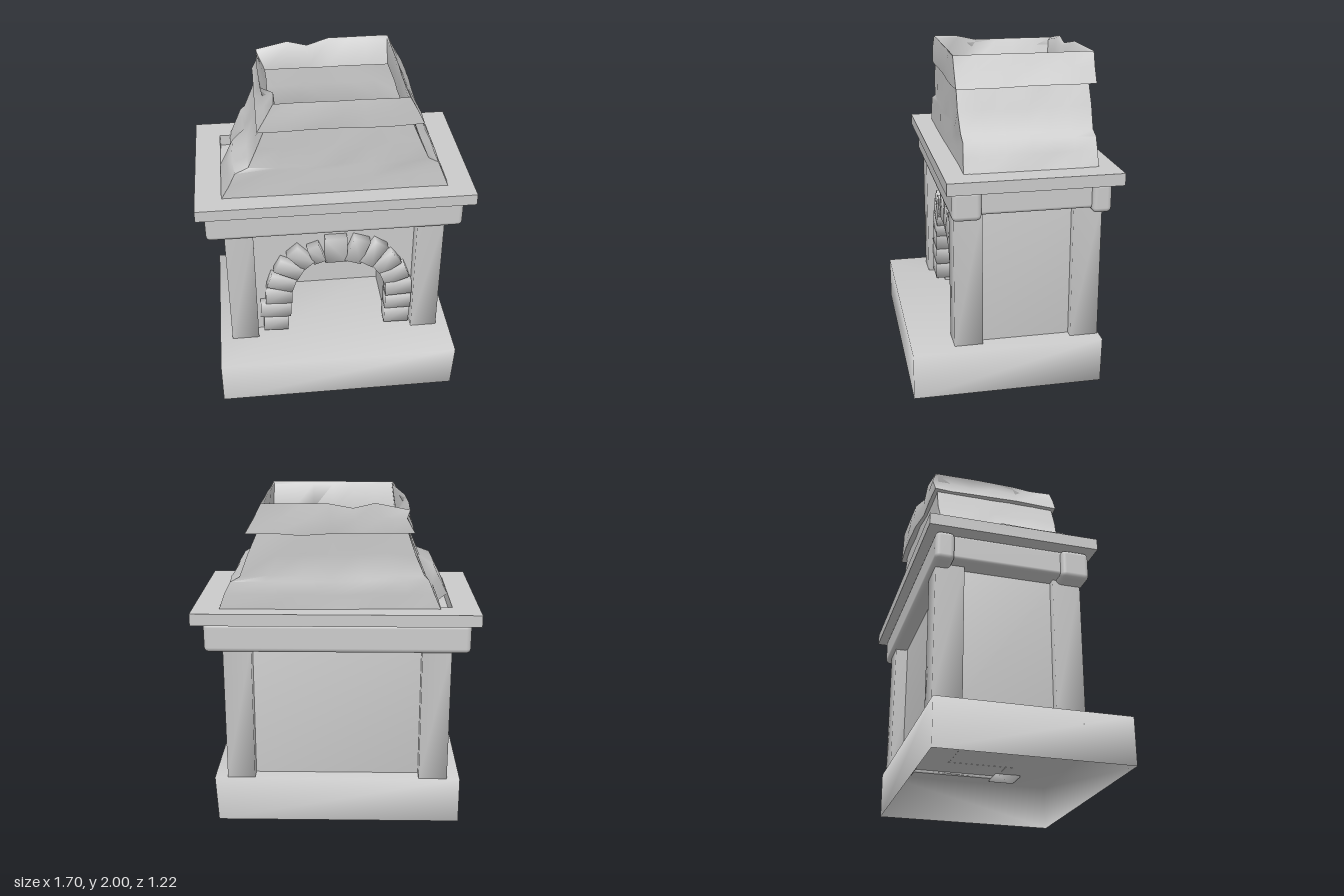
import * as THREE from 'three';
import { mergeVertices, toCreasedNormals } from 'three/addons/utils/BufferGeometryUtils.js';
import { RoundedBoxGeometry } from 'three/addons/geometries/RoundedBoxGeometry.js';

const stone = new THREE.MeshStandardMaterial({ color: 0xcccccc });
const thinStone = new THREE.MeshStandardMaterial({ color: 0xcccccc, side: THREE.DoubleSide });

let seed = 7;
const jitter = (amount) => {
  seed = (seed * 16807) % 2147483647;
  return (seed / 2147483647 - 0.5) * 2 * amount;
};

function add(parent, name, geometry, material = stone) {
  const mesh = new THREE.Mesh(geometry, material);
  mesh.name = name;
  parent.add(mesh);
  return mesh;
}

// Welds corners so the shading runs softly over the edges
function soften(geometry) {
  geometry.deleteAttribute('normal');
  geometry.deleteAttribute('uv');
  const welded = mergeVertices(geometry);
  welded.computeVertexNormals();
  return welded;
}

// Block given by its limits, with soft shading or rounded edges
function block(parent, name, [x0, x1], [y0, y1], [z0, z1], radius = 0) {
  const size = [x1 - x0, y1 - y0, z1 - z0];
  const geometry = radius ? new RoundedBoxGeometry(...size, 2, radius) : soften(new THREE.BoxGeometry(...size));
  const mesh = add(parent, name, geometry);
  mesh.position.set((x0 + x1) / 2, (y0 + y1) / 2, (z0 + z1) / 2);
  return mesh;
}

// Flat rectangular ring with a hole
function frame(parent, name, outer, hole, y0, y1) {
  const rect = (target, [a, b, c, d]) =>
    target.moveTo(a, -d).lineTo(b, -d).lineTo(b, -c).lineTo(a, -c).closePath();
  const shape = rect(new THREE.Shape(), outer);
  shape.holes.push(rect(new THREE.Path(), hole));
  const geometry = new THREE.ExtrudeGeometry(shape, { depth: y1 - y0, bevelEnabled: false });
  geometry.rotateX(-Math.PI / 2).translate(0, y0, 0);
  return add(parent, name, geometry);
}

// Arch outline from the left foot over the crown to the right foot
function archPoints(halfWidth, foot, spring, rise, centre = 0.01, steps = 18) {
  const points = [new THREE.Vector2(centre - halfWidth, foot)];
  for (let i = 0; i <= steps; i++) {
    const a = Math.PI * (1 - i / steps);
    points.push(new THREE.Vector2(centre + halfWidth * Math.cos(a), spring + rise * Math.sin(a)));
  }
  points.push(new THREE.Vector2(centre + halfWidth, foot));
  return points;
}

// Skin over stacked rough rectangles [y, x0, x1, z0, z1, roughness]; dent() adds local damage
function roughLoft(rings, dent, perSide = 6) {
  const positions = [], index = [], count = perSide * 4;
  rings.forEach(([y, x0, x1, z0, z1, rough]) => {
    const corners = [[x0, z1], [x1, z1], [x1, z0], [x0, z0]];
    for (let s = 0; s < 4; s++) {
      const [a, b] = [corners[s], corners[(s + 1) % 4]];
      for (let k = 0; k < perSide; k++) {
        const t = k / perSide;
        const v = new THREE.Vector3(
          a[0] + (b[0] - a[0]) * t + jitter(rough),
          y + (y < 1.98 ? jitter(rough) : 0),
          a[1] + (b[1] - a[1]) * t + jitter(rough));
        dent(v);
        positions.push(v.x, v.y, v.z);
      }
    }
  });
  for (let r = 0; r < rings.length - 1; r++) {
    for (let i = 0; i < count; i++) {
      const j = (i + 1) % count, a = r * count, b = a + count;
      index.push(a + i, a + j, b + j, a + i, b + j, b + i);
    }
  }
  const geometry = new THREE.BufferGeometry();
  geometry.setAttribute('position', new THREE.Float32BufferAttribute(positions, 3));
  geometry.setIndex(index);
  return toCreasedNormals(geometry, 1.3);
}

export function createModel() {
  const model = new THREE.Group();
  model.name = 'fireplace';

  // Plinth: hollow, open underneath, slightly skewed
  const plinth = new THREE.BoxGeometry(1.52, 0.29, 1.16).translate(-0.01, 0.145, 0.03);
  plinth.setIndex([...plinth.index.array].filter((_, i) => i < 18 || i >= 24));
  const p = plinth.attributes.position;
  for (let i = 0; i < p.count; i++) if (p.getY(i) < 0.1 && p.getX(i) > 0) p.setX(i, p.getX(i) - 0.015);
  add(model, 'hearthBase', soften(plinth), thinStone);

  // Corner posts
  for (const [side, xs] of [['right', [-0.69, -0.515]], ['left', [0.5, 0.67]]]) {
    block(model, side + 'FrontPost', xs, [0.28, 1.16], [0.178, 0.35]);
    block(model, side + 'BackPost', xs, [0.28, 1.16], [-0.54, -0.367]);
  }

  // Side and back walls
  block(model, 'rightWall', [-0.64, -0.58], [0.289, 1.2], [-0.42, 0.24]);
  block(model, 'leftWall', [0.56, 0.62], [0.289, 1.2], [-0.42, 0.24]);
  block(model, 'backWall', [-0.6, 0.58], [0.289, 1.2], [-0.46, -0.4]);

  // Front wall with the arched mouth cut out
  const wall = new THREE.Shape([
    new THREE.Vector2(-0.6, 1.2), new THREE.Vector2(-0.6, 0.289),
    ...archPoints(0.335, 0.289, 0.5, 0.37),
    new THREE.Vector2(0.58, 0.289), new THREE.Vector2(0.58, 1.2),
  ]);
  const wallGeometry = new THREE.ExtrudeGeometry(wall, { depth: 0.06, bevelEnabled: false });
  add(model, 'frontWall', toCreasedNormals(wallGeometry.translate(0, 0, 0.2), 0.6));

  // Firebox: arched vault closed by a back plate
  const firebox = new THREE.Group();
  firebox.name = 'firebox';
  model.add(firebox);
  const vaultRing = new THREE.Shape([
    ...archPoints(0.355, 0.289, 0.5, 0.39),
    ...archPoints(0.335, 0.289, 0.5, 0.37).reverse(),
  ]);
  const vault = new THREE.ExtrudeGeometry(vaultRing, { depth: 0.4, bevelEnabled: false });
  add(firebox, 'vault', toCreasedNormals(vault.translate(0, 0, -0.19), 0.6));
  const plate = new THREE.ShapeGeometry(new THREE.Shape(archPoints(0.35, 0.289, 0.5, 0.385)));
  add(firebox, 'fireboxBack', plate.translate(0, 0, -0.185), thinStone);

  // Arch stones: x, y, tilt in degrees, radial length, thickness
  const stones = [
    [-0.395, 0.37, -3, 0.16, 0.11], [-0.395, 0.485, -3, 0.2, 0.11], [-0.37, 0.6, -3, 0.17, 0.115],
    [-0.35, 0.705, -18, 0.17, 0.1], [-0.3, 0.81, -28, 0.17, 0.1], [-0.225, 0.895, -48, 0.16, 0.095],
    [-0.125, 0.92, -70, 0.13, 0.08], [0, 0.945, -90, 0.18, 0.14], [0.135, 0.93, 70, 0.18, 0.11],
    [0.24, 0.895, 56, 0.18, 0.1], [0.325, 0.81, 36, 0.16, 0.11], [0.38, 0.715, 20, 0.17, 0.11],
    [0.41, 0.605, 3, 0.17, 0.11], [0.41, 0.485, 0, 0.17, 0.1], [0.405, 0.37, -1, 0.165, 0.115],
  ];
  const arch = new THREE.Group();
  arch.name = 'archStones';
  model.add(arch);
  for (const [x, y, tilt, length, thickness] of stones) {
    const mesh = add(arch, 'archStone', soften(new THREE.BoxGeometry(length, thickness, 0.115)));
    mesh.position.set(x, y, 0.263);
    mesh.rotation.z = THREE.MathUtils.degToRad(tilt);
  }

  // Beams on the posts: long ones front and back, shallower set-back ones at the sides
  block(model, 'frontBeam', [-0.8, 0.78], [1.118, 1.3], [0.2, 0.372], 0.03);
  block(model, 'backBeam', [-0.8, 0.78], [1.118, 1.3], [-0.565, -0.45], 0.03);
  block(model, 'rightBeam', [-0.77, -0.57], [1.143, 1.3], [-0.5, 0.25], 0.02);
  block(model, 'leftBeam', [0.55, 0.75], [1.143, 1.3], [-0.5, 0.25], 0.02);

  // Mantel slab
  frame(model, 'mantelSlab', [-0.85, 0.845, -0.615, 0.41], [-0.69, 0.69, -0.45, 0.25], 1.3, 1.372);

  // Rough tapering hood, broken in at one back corner
  add(model, 'hood', roughLoft([
    [1.36, -0.69, 0.69, -0.508, 0.288, 0.003],
    [1.46, -0.645, 0.65, -0.508, 0.286, 0.007],
    [1.54, -0.605, 0.615, -0.508, 0.285, 0.007],
    [1.57, -0.52, 0.56, -0.5, 0.283, 0.006],
    [1.7, -0.465, 0.5, -0.5, 0.285, 0.007],
    [1.85, -0.41, 0.44, -0.502, 0.285, 0.004],
  ], (v) => {
    if (v.x < -0.59 && v.z < -0.2) v.x += 0.065;
    if (v.x < -0.1 && v.z < -0.4) v.z += 0.02;
  }), thinStone);

  // Overhanging chimney rim, its back edge stepped and one side splayed out
  add(model, 'hoodRim', roughLoft([
    [1.83, -0.405, 0.43, -0.475, 0.265, 0.003],
    [1.823, -0.46, 0.515, -0.535, 0.305, 0.006],
    [1.91, -0.41, 0.465, -0.538, 0.307, 0.006],
    [2, -0.355, 0.42, -0.532, 0.3, 0.005],
    [1.985, -0.35, 0.415, -0.515, 0.285, 0.003],
    [1.83, -0.37, 0.42, -0.465, 0.265, 0.003],
  ], (v) => {
    if (v.x < -0.06 && v.z < -0.5) v.z += 0.03;
    if (v.y > 1.95 && v.x < -0.3 && v.z < 0.05) v.add(new THREE.Vector3(-0.07, -0.04, 0));
    if (v.y > 1.95 && v.z < -0.4 && Math.abs(v.x + 0.06) < 0.08) v.y -= 0.03;
  }), thinStone);

  return model;
}
